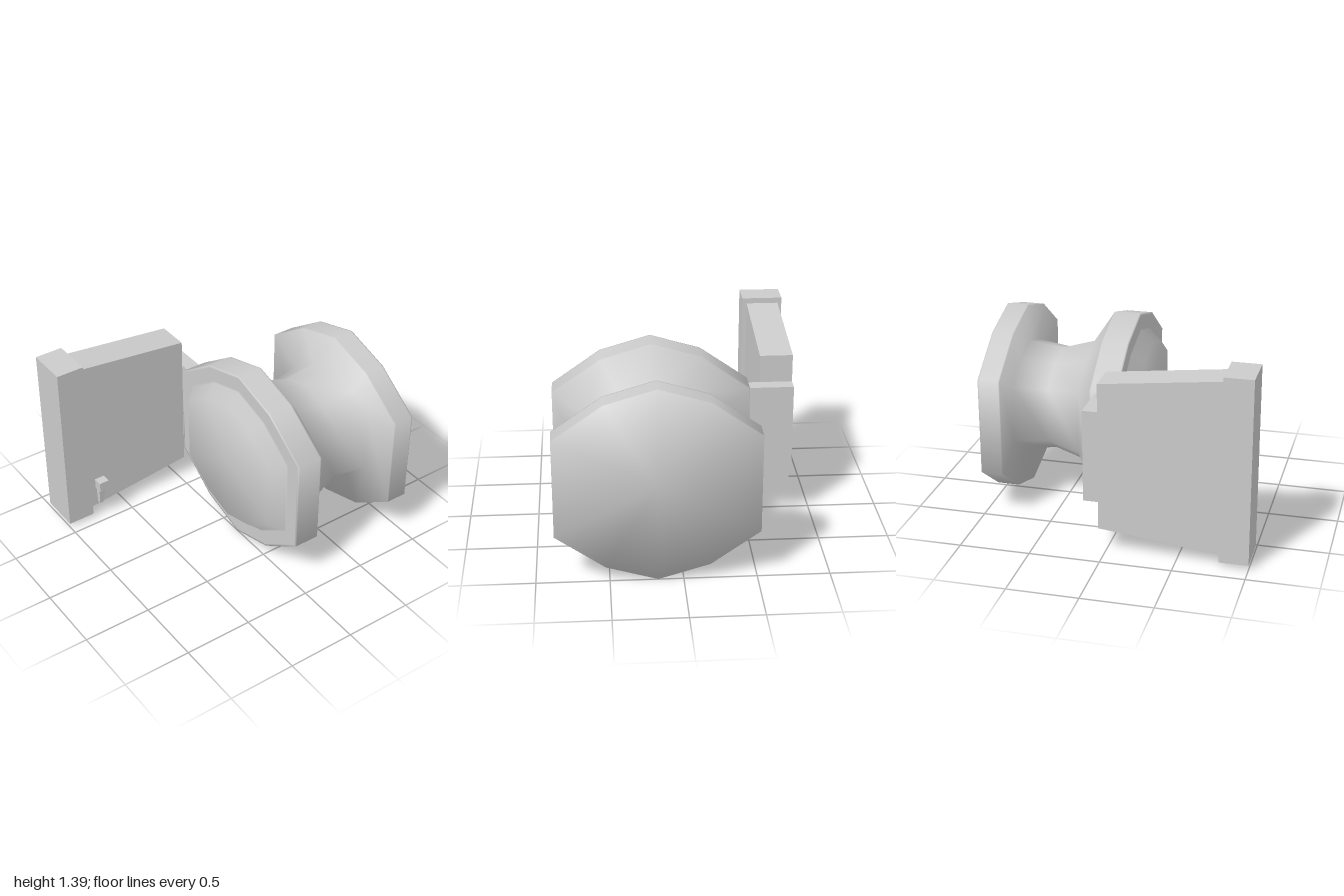
import * as THREE from 'three';

const material = new THREE.MeshStandardMaterial({ color: 0xcccccc });
const CX = 0.173, CY = 0.695, R = 0.695;

// Ten-sided outline, counter-clockwise, unit size
const quarter = [[1, 0.505], [0.51, 0.85], [0, 1]];
const upper = [...quarter, ...quarter.slice(0, 2).reverse().map(([x, y]) => [-x, y])];
const outline = [...upper, ...upper.map(([x, y]) => [-x, -y])];

// Loft of the outline along z; profile rows are [z, radius], back to front
function loft(profile) {
  const n = outline.length, m = profile.length;
  const pos = [], nor = [], idx = [];
  // outline normals averaged from both neighbouring edges
  const edge = outline.map((p, j) => {
    const q = outline[(j + 1) % n];
    return new THREE.Vector2(q[1] - p[1], p[0] - q[0]).normalize();
  });
  const radial = edge.map((e, j) => e.clone().add(edge[(j + n - 1) % n]).normalize());
  // profile normals as (z, radial)
  const seg = profile.slice(1).map(([z, r], i) =>
    new THREE.Vector2(profile[i][1] - r, z - profile[i][0]).normalize());
  profile.forEach(([z, r], i) => {
    const pn = new THREE.Vector2();
    if (i > 0) pn.add(seg[i - 1]);
    if (i < m - 1) pn.add(seg[i]);
    pn.normalize();
    outline.forEach(([x, y], j) => {
      pos.push(CX + x * r, CY + y * r, z);
      nor.push(radial[j].x * pn.y, radial[j].y * pn.y, pn.x);
    });
  });
  for (let i = 0; i < m - 1; i++) {
    for (let j = 0; j < n; j++) {
      const a = i * n + j, b = i * n + (j + 1) % n, c = b + n, d = a + n;
      if (profile[i][1] > 0) idx.push(a, b, c);
      if (profile[i + 1][1] > 0) idx.push(a, c, d);
    }
  }
  const g = new THREE.BufferGeometry();
  g.setAttribute('position', new THREE.Float32BufferAttribute(pos, 3));
  g.setAttribute('normal', new THREE.Float32BufferAttribute(nor, 3));
  g.setIndex(idx);
  return g;
}

// Box given by its limits on each axis
function block([x0, x1], [y0, y1], [z0, z1]) {
  return new THREE.BoxGeometry(x1 - x0, y1 - y0, z1 - z0)
    .translate((x0 + x1) / 2, (y0 + y1) / 2, (z0 + z1) / 2);
}

// Move every vertex by a rule, then refresh the normals
function reshape(geometry, rule) {
  const p = geometry.attributes.position, v = new THREE.Vector3();
  for (let i = 0; i < p.count; i++) {
    v.fromBufferAttribute(p, i);
    rule(v);
    p.setXYZ(i, v.x, v.y, v.z);
  }
  geometry.computeVertexNormals();
  return geometry;
}

export function createModel() {
  const group = new THREE.Group();
  const add = (name, geometry) => {
    const mesh = new THREE.Mesh(geometry, material);
    mesh.name = name;
    group.add(mesh);
  };

  // Spool: back flange, waisted neck, front flange and raised face
  add('spoolBody', loft([
    [-1, 0], [-1, R], [-0.99, R], [-0.85, R], [-0.84, R],
    [-0.84, 0.42], [-0.59, 0.385], [-0.345, 0.46],
    [-0.195, 0.688], [-0.19, R], [-0.18, R], [-0.01, R], [0, R],
    [0, 0.68], [0, 0.58], [0, 0.565], [0.09, 0.49], [0.09, 0],
  ]));

  // Bracket joining the side panel to the front flange
  add('hingeBracket', block([-0.84, -0.5], [0.37, 1.03], [-0.155, -0.05]));

  // Side panel, taller towards the front
  add('sidePanel', reshape(block([-0.84, -0.605], [0, 1], [-0.05, 0.8]), (v) => {
    const front = v.z > 0.5;
    v.y = v.y > 0.5 ? (front ? 1.327 : 1.23) : (front ? 0.073 : 0.17);
  }));

  // Thick rim at the front of the panel
  add('panelRim', block([-0.87, -0.572], [0.033, 1.367], [0.796, 1]));

  // Latch block and its tapered handle
  add('latchBlock', block([-0.61, -0.535], [0.242, 0.32], [0.668, 0.745]));
  add('latchHandle', reshape(block([-0.59, -0.547], [0.125, 0.245], [0.69, 0.745]), (v) => {
    if (v.y > 0.2) return;
    v.x = v.x > -0.57 ? -0.554 : -0.58;
    v.z = v.z > 0.71 ? 0.745 : 0.715;
  }));

  return group;
}
